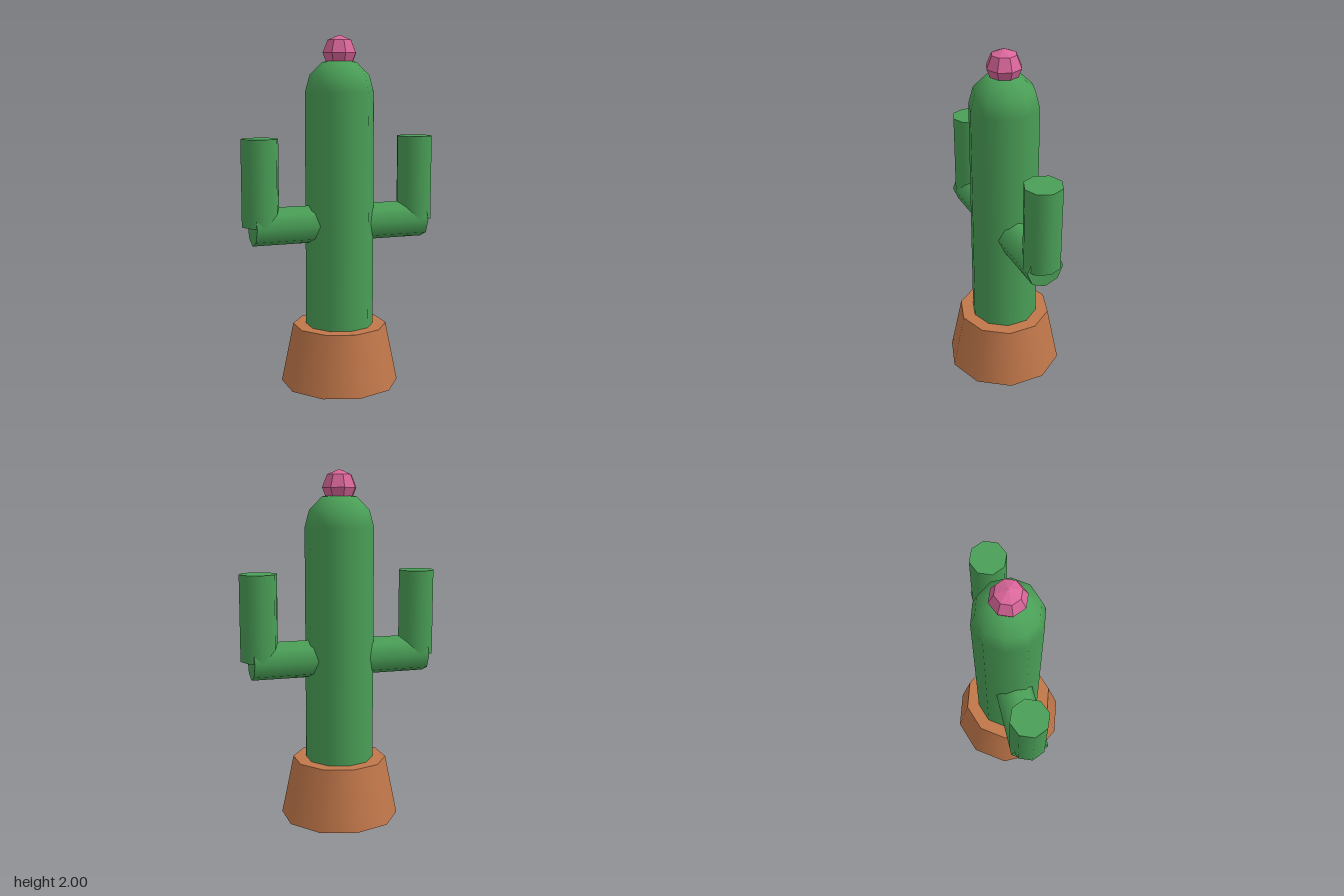
import * as THREE from 'three';

export function createModel() {
  const model = new THREE.Group();
  model.name = 'pottedCactus';

  const material = (name, color, flatShading = false) => {
    const m = new THREE.MeshStandardMaterial({ color, flatShading });
    m.name = name;
    return m;
  };
  const terracotta = material('terracotta', 0xc1774a);
  const green = material('cactusGreen', 0x4a9f57);
  const pink = material('flowerPink', 0xd9669a, true);

  const add = (name, geometry, mat, x, y, parent = model) => {
    const mesh = new THREE.Mesh(geometry, mat);
    mesh.name = name;
    mesh.position.set(x, y, 0);
    parent.add(mesh);
    return mesh;
  };

  // Ten-sided tapered pot
  add('pot', new THREE.CylinderGeometry(0.27, 0.34, 0.345, 10), terracotta, 0, 0.1725);

  // Ten-sided trunk; the dome is turned so its corners meet the trunk's
  const radius = 0.195, shoulder = 1.68;
  add('trunk', new THREE.CylinderGeometry(radius, radius, shoulder - 0.3, 10), green, 0, (shoulder + 0.3) / 2);
  const dome = new THREE.SphereGeometry(radius, 10, 3, 0, Math.PI * 2, 0, Math.PI / 2);
  dome.rotateY(Math.PI / 2);
  add('dome', dome, green, 0, shoulder);

  // Faceted flower bud
  add('flower', new THREE.SphereGeometry(0.1, 8, 4), pink, 0, 1.9);

  // Mirrored arms: a level branch and an upright
  for (const [side, s] of [['left', 1], ['right', -1]]) {
    const arm = new THREE.Group();
    arm.name = side + 'Arm';
    model.add(arm);
    const branch = new THREE.CylinderGeometry(0.107, 0.107, 0.415, 8);
    branch.rotateZ(Math.PI / 2);
    add(side + 'Branch', branch, green, s * 0.3075, 0.94, arm);
    add(side + 'Upright', new THREE.CylinderGeometry(0.107, 0.107, 0.487, 8), green, s * 0.468, 1.1875, arm);
  }

  return model;
}
